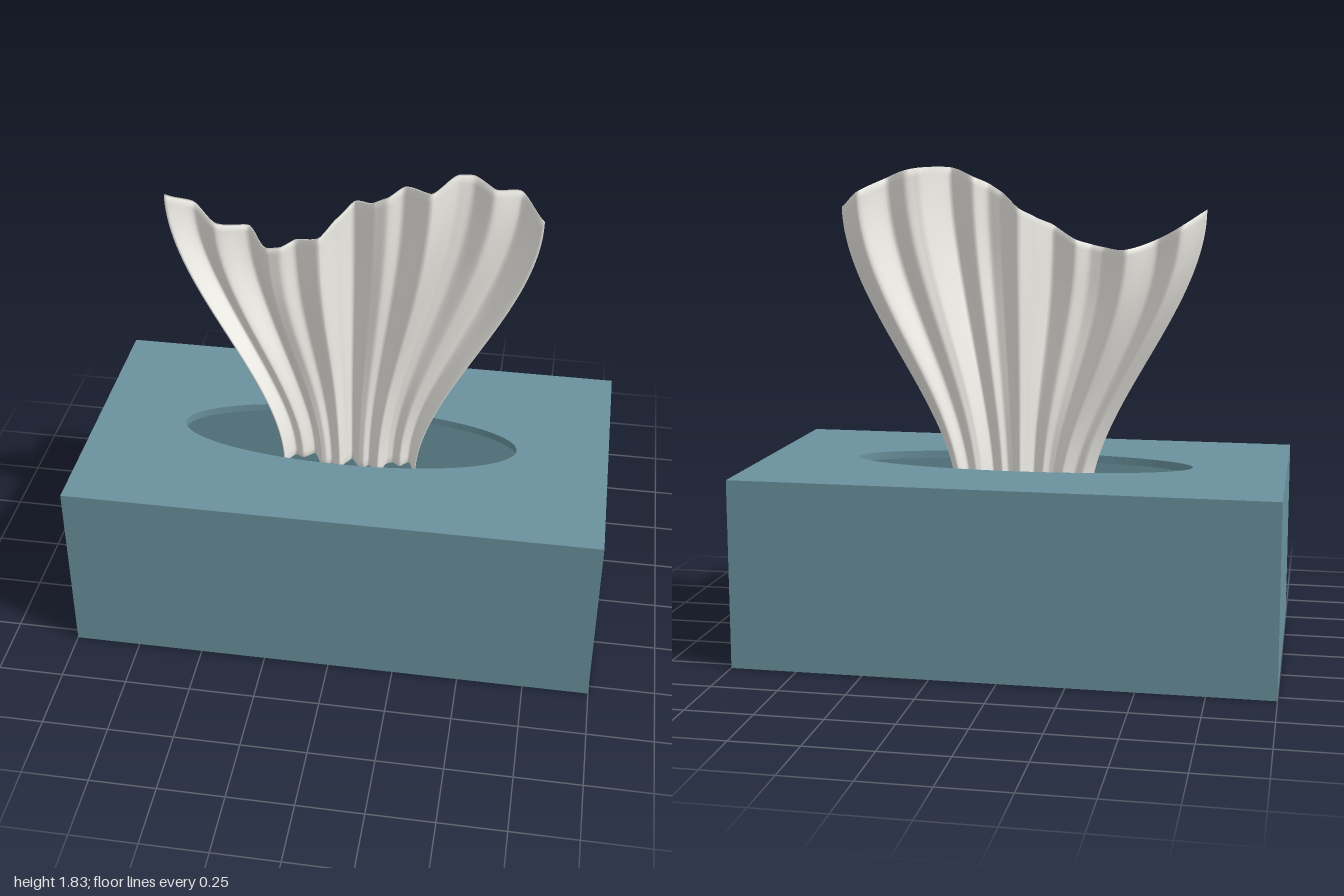
import * as THREE from 'three';

const W = 2, H = 0.71, D = 1.08, T = 0.03;

// Fold profile of the sheet's top edge: [x, z]
const FOLDS = [
  [-0.69, -0.05], [-0.6, -0.12], [-0.51, -0.06], [-0.4, -0.13], [-0.3, 0.03], [-0.25, 0.035],
  [-0.2, 0.0], [-0.1, 0.07], [-0.05, -0.03], [0, -0.1], [0.09, 0.01], [0.14, 0.02],
  [0.19, -0.02], [0.3, 0.08], [0.38, -0.08], [0.43, -0.1], [0.51, -0.06], [0.6, -0.16], [0.69, -0.05],
];

function foldDepth(x) {
  let i = 0;
  while (i < FOLDS.length - 2 && x > FOLDS[i + 1][0]) i++;
  const [x0, z0] = FOLDS[i], [x1, z1] = FOLDS[i + 1];
  const f = (x - x0) / (x1 - x0);
  // blend of straight and eased gives soft crests
  return z0 + (z1 - z0) * (0.4 * f + 0.6 * f * f * (3 - 2 * f));
}

const smooth = (a, b, v) => THREE.MathUtils.smoothstep(v, a, b);

function sheetPoint(u, t) {
  const x = u * (0.26 + 0.43 * smooth(0, 1, t));
  const top = 1.68 + 0.15 * Math.sin(Math.PI * u);
  const y = 0.55 + (top - 0.55) * t;
  const open = smooth(0.25, 0.85, t);
  const z = -0.05 + (foldDepth(u * 0.69) + 0.05) * (0.42 + 0.58 * open)
    + 0.05 * u ** 8 * (1 - t);
  return [x, y, z];
}

// Thin closed sheet: each row is a ring along the front and back again
function sheetGeometry() {
  const cols = 144, rows = 40, ring = 2 * (cols + 1), half = 0.006;
  const pos = [], idx = [];
  for (let r = 0; r <= rows; r++) {
    for (let k = 0; k < ring; k++) {
      const front = k <= cols;
      const c = front ? k : ring - 1 - k;
      const [x, y, z] = sheetPoint((2 * c) / cols - 1, r / rows);
      pos.push(x, y, z + (front ? half : -half));
    }
  }
  for (let r = 0; r < rows; r++) {
    for (let k = 0; k < ring; k++) {
      const a = r * ring + k, b = r * ring + ((k + 1) % ring);
      idx.push(a, b, b + ring, a, b + ring, a + ring);
    }
  }
  // top and bottom rims
  for (let c = 0; c < cols; c++) {
    const o = rows * ring, m = ring - 1 - c;
    idx.push(o + c, o + c + 1, o + m - 1, o + c, o + m - 1, o + m);
    idx.push(c, m - 1, c + 1, c, m, m - 1);
  }
  const g = new THREE.BufferGeometry();
  g.setAttribute('position', new THREE.Float32BufferAttribute(pos, 3));
  g.setIndex(idx);
  g.computeVertexNormals();
  return g;
}

function rect(w, d, Type = THREE.Shape) {
  return new Type([[-1, -1], [1, -1], [1, 1], [-1, 1]].map(
    ([x, y]) => new THREE.Vector2(x * w / 2, y * d / 2)));
}

// Footprint extruded upwards from height y
function slab(shape, y, height) {
  const g = new THREE.ExtrudeGeometry(shape, { depth: height, bevelEnabled: false, curveSegments: 64 });
  return g.rotateX(-Math.PI / 2).translate(0, y, 0);
}

export function createModel() {
  const group = new THREE.Group();
  const blue = new THREE.MeshStandardMaterial({ color: 0x6a929e });
  const white = new THREE.MeshStandardMaterial({ color: 0xeeece6, side: THREE.DoubleSide });
  const add = (name, geometry, material) => {
    const mesh = new THREE.Mesh(geometry, material);
    mesh.name = name;
    group.add(mesh);
  };

  // Hollow box: floor, wall ring and lid with an oval opening
  add('boxFloor', slab(rect(W - 2 * T, D - 2 * T), 0, T), blue);

  const walls = rect(W, D);
  walls.holes.push(rect(W - 2 * T, D - 2 * T, THREE.Path));
  add('boxWalls', slab(walls, 0, H - T), blue);

  const lid = rect(W, D);
  lid.holes.push(new THREE.Path().absellipse(0, 0, 0.65, 0.19, 0, Math.PI * 2, true));
  add('boxLid', slab(lid, H - T, T), blue);

  // Pleated sheet rising out of the opening
  add('tissue', sheetGeometry(), white);
  return group;
}
